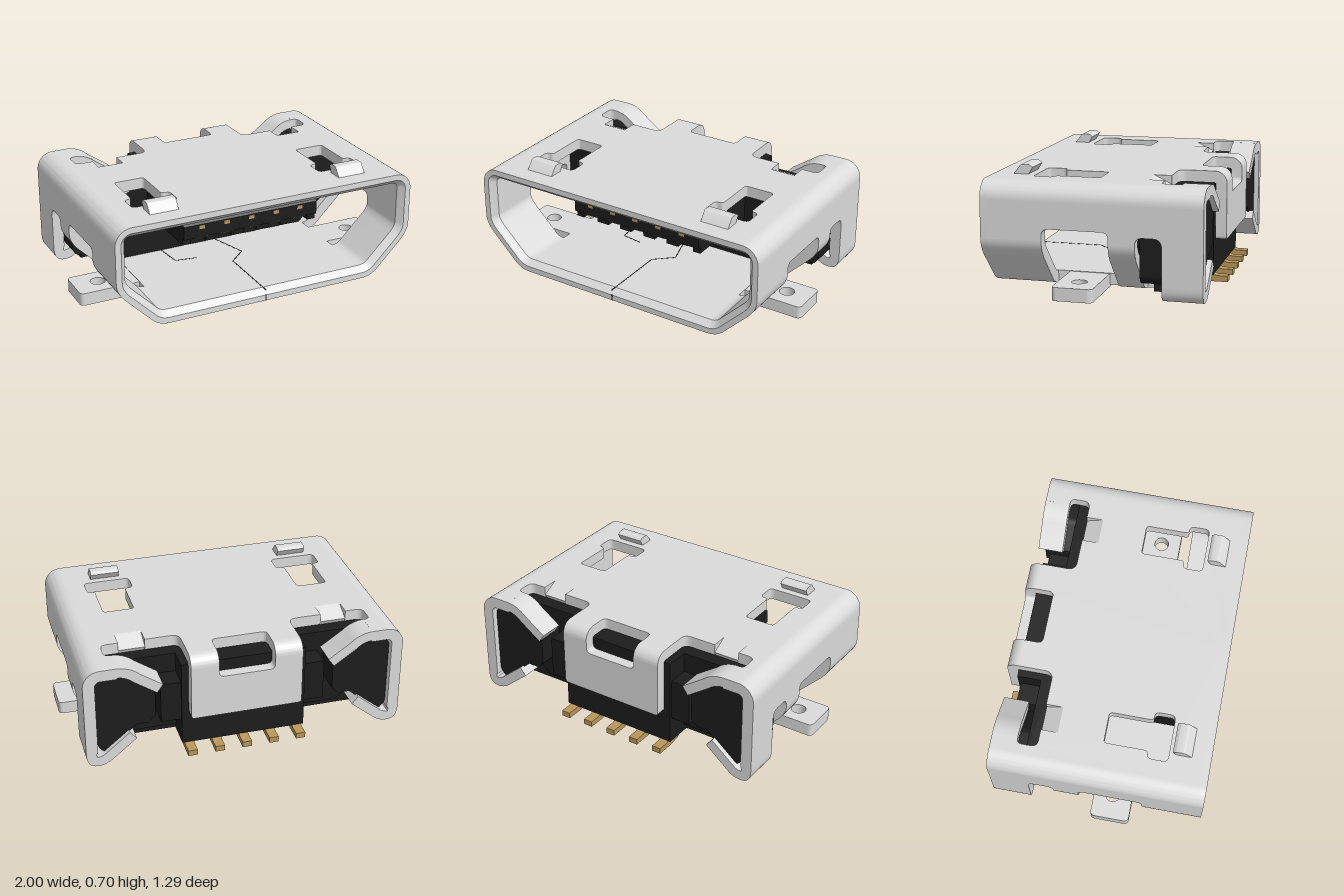
import * as THREE from 'three';
import { toCreasedNormals } from 'three/addons/utils/BufferGeometryUtils.js';

const material = (name, color) => Object.assign(new THREE.MeshStandardMaterial({ color }), { name });
const steel = material('steel', 0xdbdbdb);
const plastic = material('blackPlastic', 0x1d1d1d);
const gold = material('goldContact', 0xb8965a);
const T = 0.068; // sheet thickness
const MOUTH = 0.605; // where the bevelled mouth ring begins

// Closed shape from [x, y, cornerRadius] points
function roundPoly(pts, Kind = THREE.Shape) {
  const s = new Kind();
  const n = pts.length;
  pts.forEach(([x, y, r = 0], i) => {
    const toward = (o) => {
      const d = Math.hypot(o[0] - x, o[1] - y);
      return [x + ((o[0] - x) * r) / d, y + ((o[1] - y) * r) / d];
    };
    const a = toward(pts[(i + n - 1) % n]), b = toward(pts[(i + 1) % n]);
    if (i === 0) s.moveTo(a[0], a[1]); else s.lineTo(a[0], a[1]);
    if (r) s.quadraticCurveTo(x, y, b[0], b[1]);
  });
  s.closePath();
  return s;
}

// Points moved to the right-hand side of their path
const offset = (pts, t) => pts.map((p, i) => {
  const a = pts[Math.max(i - 1, 0)], b = pts[Math.min(i + 1, pts.length - 1)];
  const d = b.clone().sub(a).normalize();
  return new THREE.Vector2(p.x + d.y * t, p.y - d.x * t);
});

// Strip of sheet metal from its outer path
function strip(path, t = T) {
  const pts = path.getPoints(8);
  return new THREE.Shape([...pts, ...offset(pts, t).reverse()]);
}

const extrude = (shape, depth) =>
  new THREE.ExtrudeGeometry(shape, { depth, bevelEnabled: false, curveSegments: 8 });

function add(parent, name, geo, mat) {
  const m = new THREE.Mesh(toCreasedNormals(geo, 0.6), mat);
  m.name = name;
  parent.add(m);
  return m;
}
// Shape in (x, y), running from z0 to z1
const alongZ = (shape, z0, z1) => extrude(shape, z1 - z0).translate(0, 0, z0);
// Shape in (x, -z), running from y0 to y1
const alongY = (shape, y0, y1) => extrude(shape, y1 - y0).rotateX(-Math.PI / 2).translate(0, y0, 0);
// Shape in (-z, y), running from x0 to x1
const alongX = (shape, x0, x1) => extrude(shape, x1 - x0).rotateY(Math.PI / 2).translate(x0, 0, 0);

function box(parent, name, mat, x0, x1, y0, y1, z0, z1) {
  const geo = new THREE.BoxGeometry(x1 - x0, y1 - y0, z1 - z0);
  add(parent, name, geo.translate((x0 + x1) / 2, (y0 + y1) / 2, (z0 + z1) / 2), mat);
}

// Sloping lower side of the shell profile
function slopeTo(path) {
  path.quadraticCurveTo(0.945, 0.27, 0.895, 0.215);
  path.lineTo(0.745, 0.065);
  path.quadraticCurveTo(0.7, 0.015, 0.63, 0.015);
  return path;
}

// Mouth ring with an inner bevel, lofted along the shell profile
function mouthRing() {
  const path = new THREE.Path().moveTo(0, 0.645);
  path.lineTo(0.845, 0.645);
  path.absarc(0.845, 0.545, 0.1, Math.PI / 2, 0, true);
  path.lineTo(0.945, 0.32);
  slopeTo(path).lineTo(0, 0.015);
  const pts = path.getPoints(8);
  const rings = [[0, MOUTH], [0, 0.645], [0.035, 0.645], [T, MOUTH]]
    .map(([t, z]) => offset(pts, t).map((p) => [p.x, p.y, z]));
  const pos = [];
  for (let k = 0; k < 3; k++)
    for (let i = 0; i < pts.length - 1; i++) {
      const a = rings[k][i], b = rings[k][i + 1], c = rings[k + 1][i + 1], d = rings[k + 1][i];
      pos.push(...a, ...d, ...c, ...a, ...c, ...b);
    }
  return new THREE.BufferGeometry().setAttribute('position', new THREE.Float32BufferAttribute(pos, 3));
}

function shellHalf() {
  const g = new THREE.Group();
  g.name = 'shellHalf';
  add(g, 'mouthRing', mouthRing(), steel);

  // Top sheet with latch opening and rear slots
  const top = roundPoly([
    [0, -MOUTH], [0.845, -MOUTH], [0.845, 0.62], [0.75, 0.62], [0.75, 0.47], [0.79, 0.47, 0.03],
    [0.79, 0.35, 0.04], [0.685, 0.35], [0.685, 0.25], [0.53, 0.25], [0.53, 0.35],
    [0.33, 0.35, 0.05], [0.33, 0.56], [0.165, 0.56], [0.165, 0.45, 0.03], [0, 0.45],
  ]);
  top.holes.push(roundPoly([
    [0.51, -0.02, 0.02], [0.695, -0.02, 0.02], [0.695, -0.28, 0.02], [0.74, -0.28, 0.03],
    [0.74, -0.4, 0.03], [0.46, -0.4, 0.03], [0.46, -0.28, 0.03], [0.51, -0.28, 0.02],
  ], THREE.Path));
  add(g, 'topSheet', alongY(top, 0.645 - T, 0.645), steel);

  // Pressed-down ramp at the rear slot, and its rounded nose inside
  const ramp = new THREE.Path().moveTo(0.25, 0.645);
  ramp.lineTo(0.35, 0.595);
  add(g, 'ramp', alongX(strip(ramp), 0.53, 0.685), steel);
  const nose = new THREE.Shape().moveTo(0.73, 0.59);
  nose.bezierCurveTo(0.68, 0.475, 0.55, 0.475, 0.5, 0.59);
  add(g, 'rampNose', alongZ(nose, -0.2, -0.09), steel);

  // Rounded upper edge
  const edge = new THREE.Path().absarc(0.845, 0.545, 0.1, Math.PI / 2, 0, true);
  add(g, 'upperEdge', alongZ(strip(edge), -0.62, MOUTH), steel);

  // Side wall with its two windows, reaching lower at the back
  add(g, 'sideWall', alongX(roundPoly([
    [-MOUTH, 0.32], [-0.29, 0.32], [-0.29, 0.39, 0.04], [0.09, 0.39, 0.04], [0.09, 0.32],
    [0.24, 0.32], [0.24, 0.37, 0.045], [0.39, 0.37, 0.05], [0.39, 0.1], [0.62, 0.1],
    [0.62, 0.545], [-MOUTH, 0.545],
  ]), 0.945 - T, 0.945), steel);

  // Sloping lower wall, interrupted by the windows
  const slope = slopeTo(new THREE.Path().moveTo(0.945, 0.32));
  for (const [z0, z1] of [[0.29, MOUTH], [-0.24, -0.09]])
    add(g, 'lowerSlope', alongZ(strip(slope), z0, z1), steel);
  add(g, 'bottomSheet', alongY(roundPoly([
    [0, -MOUTH], [0.635, -MOUTH], [0.635, 0.31, 0.05], [0.45, 0.31, 0.04], [0.4, 0.34, 0.03], [0, 0.34],
  ]), 0.015, 0.015 + T), steel);

  // Rear wings: lip curling up from below, flap bending down from above
  const lip = new THREE.Path().moveTo(0.945, 0.1);
  lip.quadraticCurveTo(0.945, 0.015, 0.88, 0.015);
  lip.quadraticCurveTo(0.83, 0.015, 0.79, 0.05);
  lip.lineTo(0.65, 0.165);
  add(g, 'wingLip', alongZ(strip(lip, 0.06), -0.62, -0.39), steel);
  const flap = new THREE.Path().moveTo(0.49, 0.5);
  flap.lineTo(0.62, 0.59);
  flap.quadraticCurveTo(0.68, 0.645, 0.755, 0.645);
  add(g, 'wingFlap', alongZ(strip(flap, 0.06), -0.62, -0.47), steel);

  // Mounting ear with hole
  const ear = roundPoly([[0.58, -0.22], [1, -0.22, 0.03], [1, 0.015, 0.03], [0.58, 0.015]]);
  ear.holes.push(new THREE.Path().absarc(0.85, -0.1, 0.045, 0, Math.PI * 2, true));
  add(g, 'mountingEar', alongY(ear, 0.003, 0.08), steel);

  // Raised latch
  add(g, 'latchHook', alongX(roundPoly([
    [-0.54, 0.635], [-0.49, 0.7, 0.01], [-0.44, 0.7, 0.01], [-0.42, 0.685], [-0.45, 0.635],
  ]), 0.515, 0.69), steel);

  // Bend leading to the rear plate
  const bend = new THREE.Path().absarc(0.56, 0.575, 0.07, Math.PI / 2, 0, true);
  add(g, 'rearBend', alongX(strip(bend), 0.165, 0.33), steel);
  add(g, 'rearPlate', alongZ(roundPoly([
    [0, 0.245], [0.33, 0.245, 0.02], [0.33, 0.575], [0.165, 0.575], [0.165, 0.5, 0.03], [0, 0.5],
  ]), -0.63, -0.565), steel);
  return g;
}

function housing() {
  const g = new THREE.Group();
  g.name = 'housing';
  // Main wall closing the mouth
  add(g, 'housingWall', alongZ(roundPoly([
    [-0.62, 0.085], [0.62, 0.085], [0.865, 0.3, 0.03], [0.865, 0.57, 0.05],
    [-0.865, 0.57, 0.05], [-0.865, 0.3, 0.03],
  ]), -0.42, -0.11), plastic);
  box(g, 'rearBlock', plastic, -0.37, 0.37, 0.04, 0.57, -0.562, -0.3);
  box(g, 'rearShoulder', plastic, -0.49, 0.49, 0.2, 0.45, -0.55, -0.4);
  for (const s of [-1, 1]) {
    // Blocks filling the rear wings and side windows
    const wing = add(g, 'wingBlock', alongZ(roundPoly([
      [0.872, 0.12, 0.03], [0.83, 0.085, 0.02], [0.64, 0.24], [0.57, 0.24], [0.53, 0.28],
      [0.53, 0.44], [0.68, 0.56, 0.02], [0.872, 0.56, 0.04],
    ]), -0.59, -0.25), plastic);
    wing.scale.x = s;
    const [a, b] = [0.37 * s, 0.8 * s].sort((p, q) => p - q);
    box(g, 'lowerFoot', plastic, a, b, 0.04, 0.26, -0.39, -0.315);
  }
  // Tongue with ribs between the contacts
  add(g, 'tongue', alongX(roundPoly([
    [0.15, 0.39], [-0.42, 0.39], [-0.42, 0.47], [-0.39, 0.5], [0.15, 0.5],
  ]), -0.435, 0.435), plastic);
  for (const x of [-0.41, -0.245, -0.083, 0.083, 0.245, 0.41]) {
    const w = Math.abs(x) > 0.4 ? 0.025 : 0.04;
    box(g, 'tongueRib', plastic, x - w, x + w, 0.35, 0.4, -0.15, 0.4);
  }
  return g;
}

export function createModel() {
  const model = new THREE.Group();
  model.name = 'connector';
  const left = shellHalf();
  const right = left.clone();
  right.scale.x = -1;
  model.add(left, right, housing());

  // Contacts inside and solder pins at the back
  const pin = new THREE.Shape([[0.4, 0.05], [0.46, 0.012], [0.53, 0], [0.645, 0], [0.645, 0.035], [0.58, 0.035], [0.54, 0.05]]
    .map(([a, b]) => new THREE.Vector2(a, b)));
  for (let i = -2; i <= 2; i++) {
    const x = i * 0.16, px = i * 0.164;
    box(model, 'contactTip', gold, x - 0.018, x + 0.018, 0.442, 0.464, 0.3, 0.423);
    box(model, 'contactStrip', gold, x - 0.04, x + 0.04, 0.384, 0.392, -0.1, 0.415);
    add(model, 'solderPin', alongX(pin, px - 0.028, px + 0.028), gold);
  }

  // Dovetail seam in the floor, seen inside, below and on the rim
  box(model, 'rimSeam', plastic, -0.023, -0.016, 0.015, 0.052, 0.643, 0.646);
  const seam = [[-0.02, 0.645], [-0.02, 0.22], [0.09, 0.12], [0, -0.18], [-0.35, -0.14], [-0.33, 0.06], [-0.2, 0.08]];
  for (let i = 1; i < seam.length; i++) {
    const [ax, az] = seam[i - 1], [bx, bz] = seam[i];
    for (const y of [0.015, 0.015 + T]) {
      const geo = new THREE.BoxGeometry(0.006, 0.002, Math.hypot(bx - ax, bz - az));
      geo.rotateY(Math.atan2(bx - ax, bz - az)).translate((ax + bx) / 2, y, (az + bz) / 2);
      add(model, 'seam', geo, plastic);
    }
  }
  return model;
}
